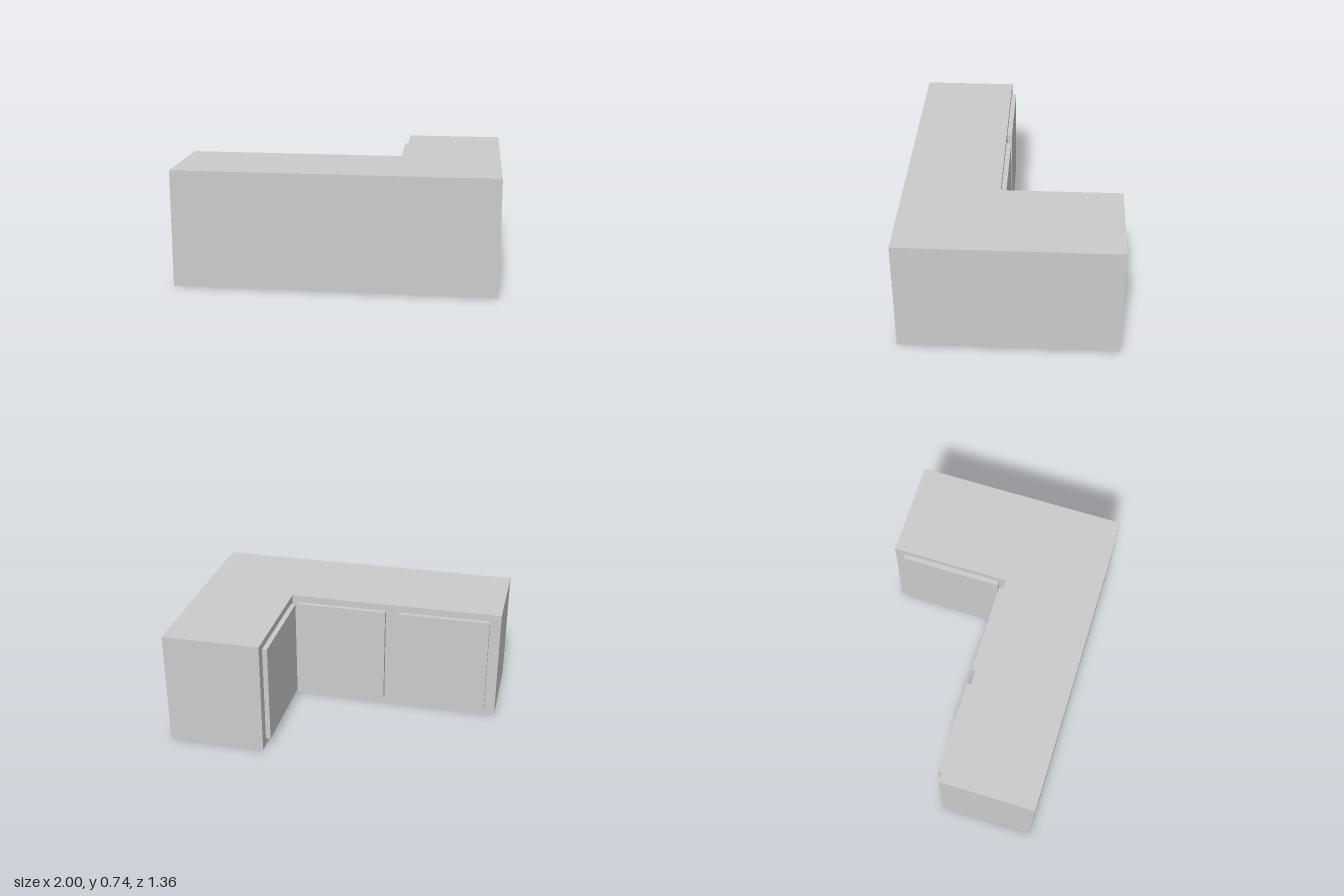
import * as THREE from 'three';

const HEIGHT = 0.735;
const DOOR_BOTTOM = 0.045;
const DOOR_TOP = 0.69;

export function createModel() {
  const group = new THREE.Group();
  const material = new THREE.MeshStandardMaterial({ color: 0xcccccc, flatShading: true });

  // L-shaped counter body: plan drawn as (x, -z), extruded upwards
  const plan = new THREE.Shape(
    [[-1, 0.678], [1, 0.678], [1, -0.678], [0.381, -0.678], [0.381, 0.075], [-1, 0.075]]
      .map(([x, z]) => new THREE.Vector2(x, -z))
  );
  const bodyGeometry = new THREE.ExtrudeGeometry(plan, { depth: HEIGHT, bevelEnabled: false });
  bodyGeometry.rotateX(-Math.PI / 2);
  const body = new THREE.Mesh(bodyGeometry, material);
  body.name = 'counterBody';
  group.add(body);

  // Raised door panels on the inner faces
  function addDoor(name, x0, x1, z0, z1) {
    const door = new THREE.Mesh(
      new THREE.BoxGeometry(x1 - x0, DOOR_TOP - DOOR_BOTTOM, z1 - z0), material);
    door.position.set((x0 + x1) / 2, (DOOR_TOP + DOOR_BOTTOM) / 2, (z0 + z1) / 2);
    door.name = name;
    group.add(door);
  }
  addDoor('outerDoor', -0.93, -0.342, 0.044, 0.075);
  addDoor('innerDoor', -0.251, 0.339, 0.044, 0.075);
  addDoor('sideDoor', 0.35, 0.381, -0.611, 0.033);

  return group;
}
